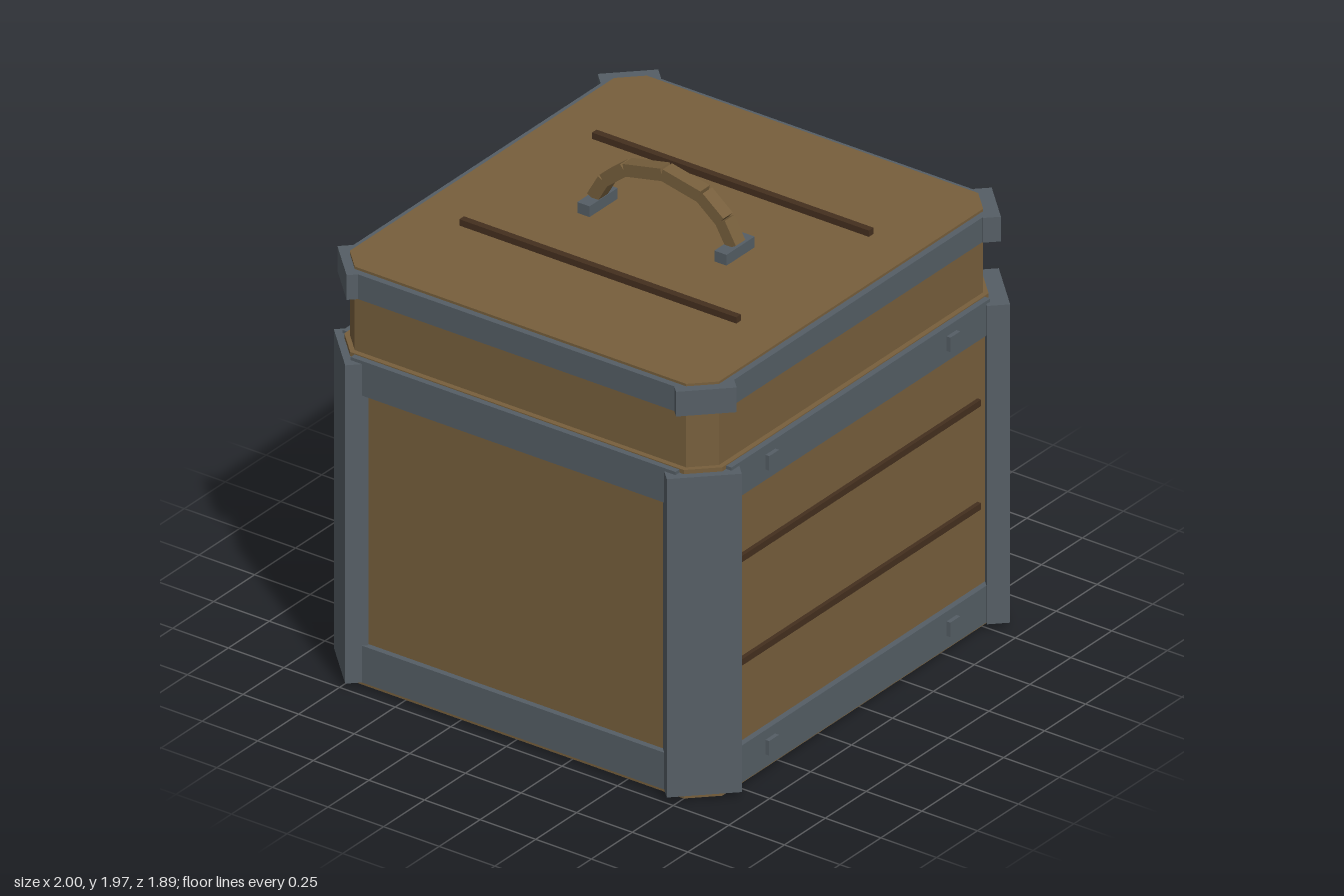
import * as THREE from 'three';

const mat = (name, color) => {
  const m = new THREE.MeshStandardMaterial({ color });
  m.name = name;
  return m;
};

export function createModel() {
  const model = new THREE.Group();
  model.name = 'crate';
  const wood = mat('wood', 0x775f3c);
  const steel = mat('steel', 0x555e65);
  const darkWood = mat('dark wood', 0x442f1e);
  const CX = -0.022; // the body sits slightly left because of the side handle

  function add(name, geometry, material, x, y, z, parent = model) {
    const mesh = new THREE.Mesh(geometry, material);
    mesh.name = name;
    mesh.position.set(x, y, z);
    parent.add(mesh);
    return mesh;
  }
  const box = (name, material, w, h, d, x, y, z) =>
    add(name, new THREE.BoxGeometry(w, h, d), material, x, y, z);

  // Upright block with chamfered vertical corners
  function chamferedBlock(name, hx, hz, c, y0, y1) {
    const shape = new THREE.Shape([
      [hx - c, -hz], [hx, -hz + c], [hx, hz - c], [hx - c, hz],
      [-hx + c, hz], [-hx, hz - c], [-hx, -hz + c], [-hx + c, -hz],
    ].map(([x, y]) => new THREE.Vector2(x, y)));
    const g = new THREE.ExtrudeGeometry(shape, { depth: y1 - y0, bevelEnabled: false });
    g.rotateX(-Math.PI / 2);
    return add(name, g, wood, CX, y0, 0);
  }

  // Chain of straight square bars through the given points
  function barHandle(name, points, w, t, up) {
    const group = new THREE.Group();
    group.name = name;
    model.add(group);
    for (let i = 0; i + 1 < points.length; i++) {
      const a = new THREE.Vector3(...points[i]);
      const b = new THREE.Vector3(...points[i + 1]);
      const mid = a.clone().add(b).multiplyScalar(0.5);
      const bar = add(name + 'Bar', new THREE.BoxGeometry(w, t, a.distanceTo(b)), wood, mid.x, mid.y, mid.z, group);
      bar.up.set(...up);
      bar.lookAt(b);
    }
    return group;
  }

  // Wooden body and lid
  chamferedBlock('body', 0.913, 0.85, 0.1, 0, 1.357);
  chamferedBlock('lid', 0.892, 0.83, 0.085, 1.357, 1.702);

  // Steel bands around body and lid
  for (const [y0, y1, hx, hz] of [[0.025, 0.177, 0.937, 0.874], [1.21, 1.353, 0.937, 0.874], [1.59, 1.692, 0.918, 0.856]]) {
    const h = y1 - y0, y = (y0 + y1) / 2;
    for (const s of [-1, 1]) {
      box('longBand', steel, 1.58, h, 0.05, CX, y, s * (hz - 0.025));
      box('sideBand', steel, 0.05, h, 1.46, CX + s * (hx - 0.025), y, 0);
    }
  }

  // Diagonal corner posts and lid corner plates
  for (const sz of [-1, 1]) {
    for (const [sx, px, pz, lx, lz] of [[-1, 0.875, 0.79, 0.867, 0.795], [1, 0.862, 0.817, 0.844, 0.804]]) {
      const angle = Math.atan2(sx, sz);
      box('cornerPost', steel, 0.275, 1.315, 0.085, sx * px, 0.6825, sz * pz).rotation.y = angle;
      box('lidCorner', steel, 0.222, 0.102, 0.068, sx * lx, 1.641, sz * lz).rotation.y = angle;
    }
  }

  // Slats and rivets on front and back, slats and handle feet on the lid
  for (const s of [-1, 1]) {
    for (const y of [0.513, 0.94]) box('slat', darkWood, 1.49, 0.026, 0.03, CX, y, s * 0.852);
    for (const x of [-0.575, 0.532]) {
      for (const y of [0.107, 1.284]) box('rivet', steel, 0.06, 0.06, 0.05, x, y, s * 0.866);
    }
    box('lidSlat', darkWood, 0.028, 0.04, 1.245, CX + s * 0.405, 1.708, 0);
    box('handleFoot', steel, 0.172, 0.055, 0.055, CX - 0.003, 1.719, s * 0.308);
  }

  // Arched lid handle
  const half = [[0.313, 1.745], [0.263, 1.832], [0.17, 1.906], [0, 1.942]];
  const arc = [...half, ...half.slice(0, 3).reverse().map(([z, y]) => [-z, y])];
  barHandle('lidHandle', arc.map(([z, y]) => [CX - 0.002, y, z]), 0.058, 0.05, [0, 1, 0]);

  // Bent side handle
  const side = barHandle('sideHandle', [
    [0.945, 1.026, -0.085], [0.972, 0.858, -0.255], [0.968, 0.6, -0.22], [0.94, 0.425, -0.045],
  ], 0.05, 0.046, [1, 0, 0]);
  side.children.forEach((bar) => bar.rotateZ(0.25));

  return model;
}
